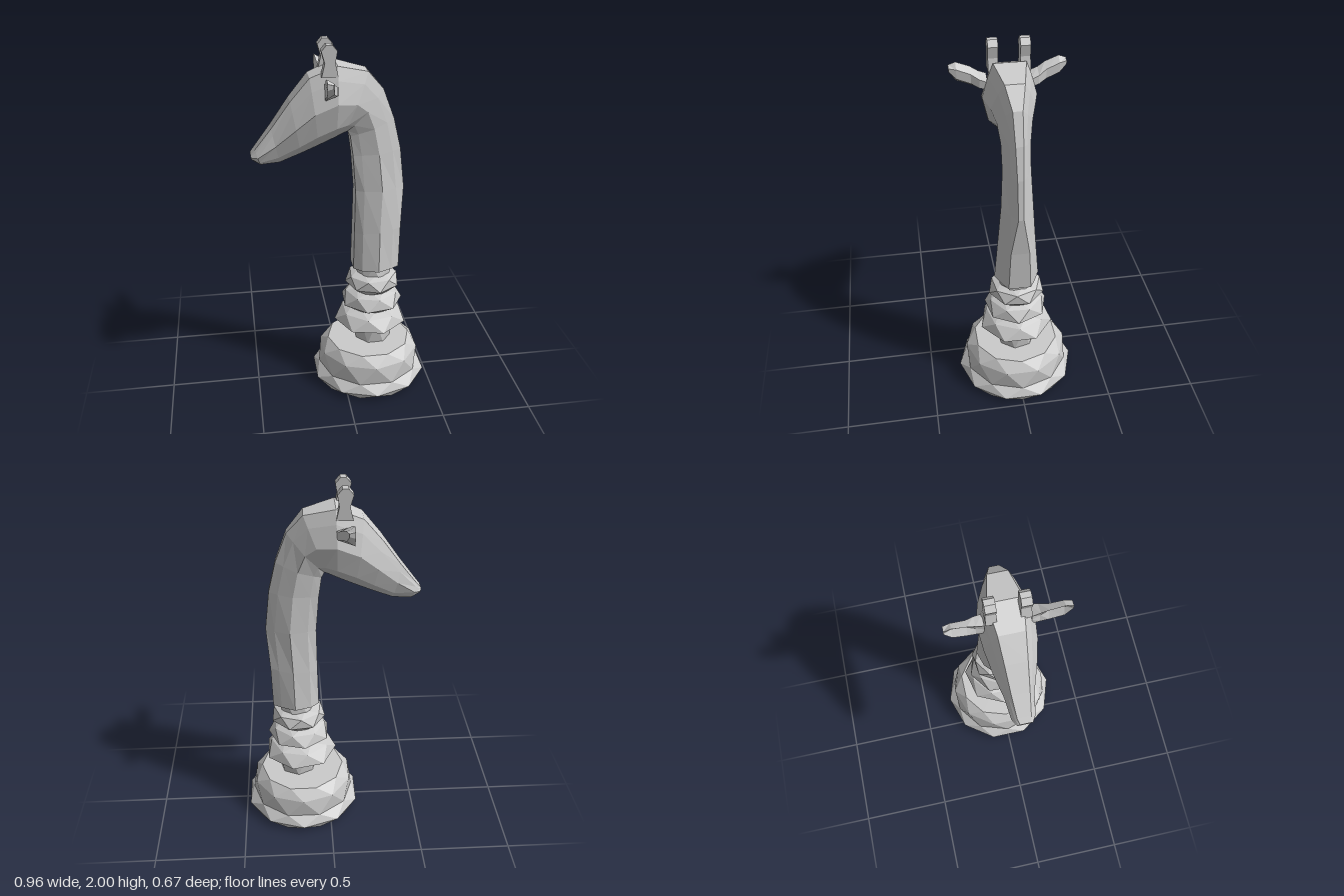
import * as THREE from 'three';

const grey = () => new THREE.MeshStandardMaterial({ color: 0xcccccc, flatShading: true });
const V = (x, y, z) => new THREE.Vector3(x, y, z);

// Skin a list of equal-length closed rings, cap both ends, face outwards
function loft(name, rings, capStart = true) {
  const tris = [];
  const n = rings[0].length;
  for (let r = 0; r < rings.length - 1; r++) {
    const a = rings[r], b = rings[r + 1];
    for (let i = 0; i < n; i++) {
      const j = (i + 1) % n;
      tris.push([a[i], a[j], b[i]], [a[j], b[j], b[i]]);
    }
  }
  const cap = (ring, flip) => {
    const c = V(0, 0, 0);
    ring.forEach(p => c.addScaledVector(p, 1 / n));
    ring.forEach((p, i) => {
      const q = ring[(i + 1) % n];
      tris.push(flip ? [q, p, c] : [p, q, c]);
    });
  };
  if (capStart) cap(rings[0], true);
  cap(rings[rings.length - 1], false);
  // signed volume about the first ring tells the winding
  const o = rings[0][0];
  let vol = 0;
  for (const [p, q, r] of tris) {
    vol += p.clone().sub(o).dot(q.clone().sub(o).cross(r.clone().sub(o)));
  }
  const pts = tris.flatMap(([p, q, r]) => (vol < 0 ? [p, r, q] : [p, q, r]));
  const g = new THREE.BufferGeometry().setFromPoints(pts);
  g.computeVertexNormals();
  const m = new THREE.Mesh(g, grey());
  m.name = name;
  return m;
}

// Turned part with each ring twisted half a facet, giving triangular facets
function faceted(name, profile, sides, cx, start, capStart) {
  const rings = profile.map(([y, r], k) =>
    Array.from({ length: sides }, (_, i) => {
      const a = start + ((i + k / 2) * 2 * Math.PI) / sides;
      return V(cx + r * Math.cos(a), y, r * Math.sin(a));
    }));
  return loft(name, rings, capStart);
}

export function createModel() {
  const group = new THREE.Group();
  const cx = 0.16;

  // Faceted foot
  group.add(faceted('base', [[0, 0.3], [0.04, 0.333], [0.09, 0.295], [0.195, 0.288], [0.25, 0.24]],
    10, cx, 0, false));

  // Underside with a round socket
  const under = new THREE.Shape(Array.from({ length: 10 }, (_, i) =>
    new THREE.Vector2(0.3 * Math.cos(i * Math.PI / 5), 0.3 * Math.sin(i * Math.PI / 5))));
  under.holes.push(new THREE.Path().absarc(0, 0, 0.155, 0, Math.PI * 2, true));
  const bottom = new THREE.Mesh(new THREE.ShapeGeometry(under, 16).rotateX(Math.PI / 2), grey());
  bottom.name = 'baseUnderside';
  bottom.position.x = cx;
  const wall = new THREE.Mesh(new THREE.LatheGeometry(
    [[0.155, 0], [0.155, 0.18], [0, 0.18]].map(p => new THREE.Vector2(...p)), 32), grey());
  wall.material.side = THREE.DoubleSide;
  wall.name = 'socket';
  wall.position.x = cx;
  group.add(bottom, wall);

  // Stem and three flared collars
  group.add(faceted('stem', [[0.24, 0.105], [0.4, 0.11]], 7, 0.185, 0.2));
  const collars = [
    [[0.375, 0.1], [0.376, 0.208], [0.44, 0.168], [0.465, 0.1]],
    [[0.45, 0.1], [0.5, 0.178], [0.56, 0.148], [0.585, 0.09]],
    [[0.56, 0.09], [0.615, 0.155], [0.67, 0.138], [0.69, 0.08]],
  ];
  collars.forEach((p, i) => group.add(faceted('collar' + (i + 1), p, 7, 0.168 + i * 0.005, i * 0.5)));
  group.add(faceted('collarTop', [[0.66, 0.1], [0.74, 0.09]], 7, 0.183, 0.4));

  // Neck and head in one skin: front x,y, back x,y, half width, front and back half widths
  const sections = [
    [0.06, 0.73, 0.315, 0.73, 0.122, 0.055, 0.06],
    [0.065, 0.95, 0.322, 0.97, 0.103, 0.05, 0.05],
    [0.07, 1.2, 0.34, 1.2, 0.085, 0.045, 0.014],
    [0.055, 1.4, 0.315, 1.42, 0.074, 0.045, 0.016],
    [0.04, 1.51, 0.275, 1.59, 0.076, 0.045, 0.02],
    [0.025, 1.54, 0.215, 1.75, 0.09, 0.045, 0.025],
    [0.0, 1.53, 0.13, 1.85, 0.112, 0.045, 0.05],
    [-0.04, 1.51, -0.03, 1.89, 0.14, 0.045, 0.083],
    [-0.13, 1.47, -0.17, 1.83, 0.13, 0.045, 0.065],
    [-0.22, 1.43, -0.27, 1.71, 0.108, 0.04, 0.055],
    [-0.33, 1.385, -0.37, 1.57, 0.074, 0.035, 0.045],
    [-0.43, 1.375, -0.455, 1.46, 0.06, 0.03, 0.035],
    [-0.475, 1.4, -0.48, 1.43, 0.04, 0.02, 0.025],
  ];
  group.add(loft('neckAndHead', sections.map(([fx, fy, bx, by, w, f, b]) => {
    const half = [[0, f], [0.17, w * 0.78], [0.52, w], [0.82, w * 0.45 + b * 0.55], [1, b]];
    const at = (t, z) => V(fx + (bx - fx) * t, fy + (by - fy) * t, z);
    return [...half.map(([t, z]) => at(t, z)), ...half.reverse().map(([t, z]) => at(t, -z))];
  })));

  for (const s of [1, -1]) {
    const side = s > 0 ? 'right' : 'left';

    // Flared horn
    const horn = [[1.84, -0.115, -0.03], [1.91, -0.098, -0.045], [1.97, -0.115, -0.035],
      [2.0, -0.09, -0.06]];
    group.add(loft(side + 'Horn', horn.map(([y, x0, x1]) =>
      [[x0, 0.055], [x1, 0.055], [x1, 0.106], [x0, 0.106]].map(([x, z]) => V(x, y, s * z)))));

    // Cupped ear: z, low y, high y, face x, back x, hollow depth
    const ear = [
      [0.11, 1.73, 1.81, -0.1, -0.03, 0],
      [0.15, 1.735, 1.825, -0.1, -0.04, 0.01],
      [0.19, 1.75, 1.85, -0.105, -0.06, 0.022],
      [0.26, 1.775, 1.875, -0.11, -0.07, 0.02],
      [0.297, 1.83, 1.862, -0.11, -0.08, 0],
    ];
    group.add(loft(side + 'Ear', ear.map(([z, y0, y1, xf, xb, d]) => {
      const m = (y0 + y1) / 2, q = (y1 - y0) / 4;
      return [[xf, y0], [xf + d, m], [xf, y1], [xb, m + q], [xb, m - q]]
        .map(([x, y]) => V(x, y, s * z));
    })));
  }
  return group;
}
